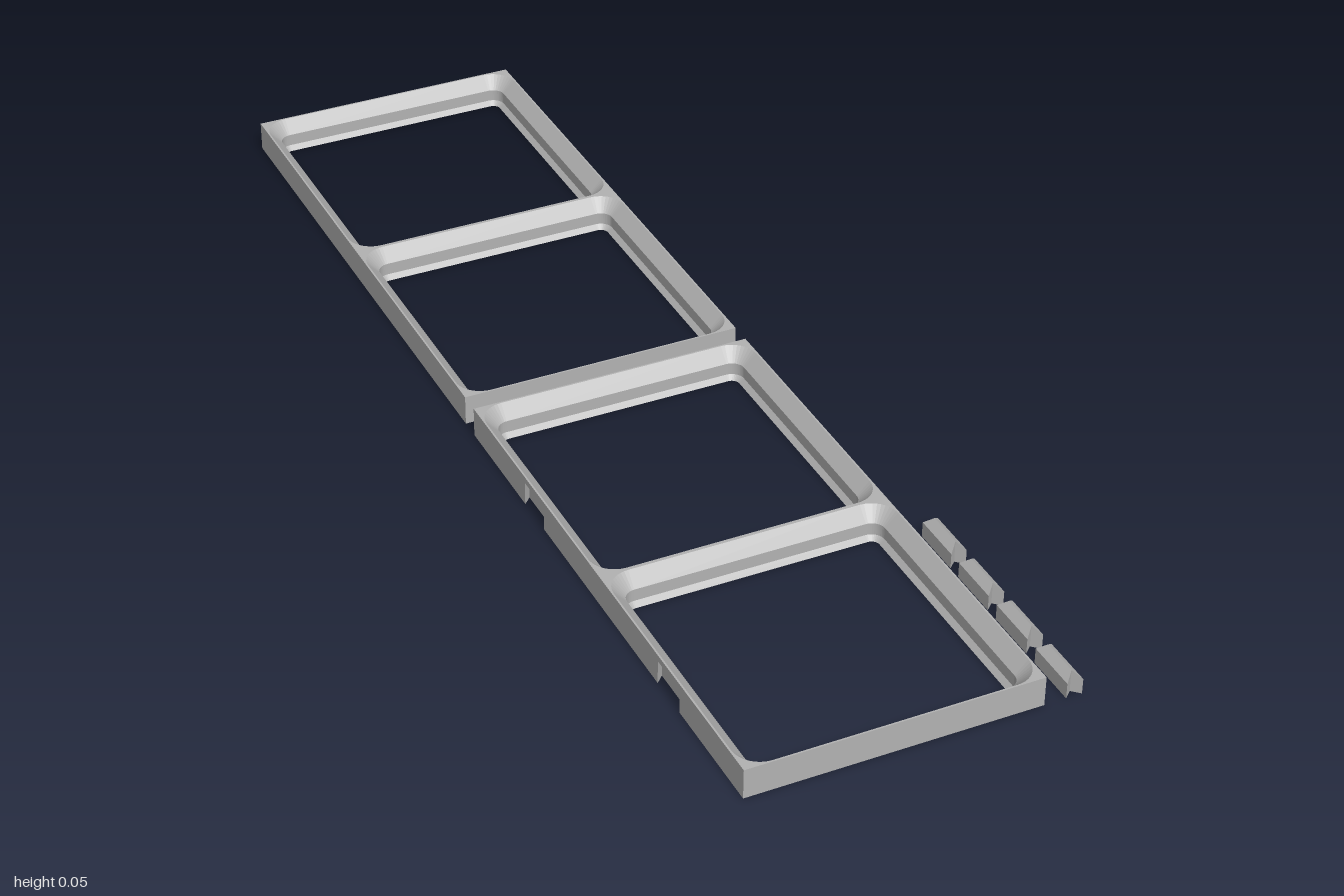
import * as THREE from 'three';
import { mergeGeometries } from 'three/addons/utils/BufferGeometryUtils.js';

const HALF = 0.2455;          // half of one square cell
const LEN = HALF * 2;         // half length of a two-cell plate
const HEIGHT = 0.052;
const CELLS = [-HALF, HALF];  // cell (and slot) centres along z
// Stepped cell wall from top to bottom: [inset, height, corner radius]
const WALL = [[0.003, HEIGHT, 0.044], [0.025, 0.0295, 0.0218], [0.025, 0.0082, 0.0218], [0.033, 0, 0.0135]];
// Dovetail slot: half width at the mouth and at the back, depth, ceiling heights
const SLOT = { mouth: 0.037, back: 0.05, depth: 0.013, low: 0.028, high: 0.041 };

// Flat four-cornered faces, corners anticlockwise from outside
function quads(list) {
  const pos = [];
  for (const [a, b, c, d] of list) pos.push(...a, ...b, ...c, ...a, ...c, ...d);
  const g = new THREE.BufferGeometry();
  g.setAttribute('position', new THREE.Float32BufferAttribute(pos, 3));
  g.computeVertexNormals();
  return g;
}

// Rounded square outline as [x, z] points
function roundedSquare([inset, , radius], zc) {
  const pts = [], steps = 10, k = HALF - inset - radius;
  for (let q = 0; q < 4; q++) {
    const mid = (q + 0.5) * Math.PI / 2;
    for (let i = 0; i <= steps; i++) {
      const t = (q + i / steps) * Math.PI / 2;
      pts.push([
        Math.sign(Math.cos(mid)) * k + Math.cos(t) * radius,
        zc + Math.sign(Math.sin(mid)) * k + Math.sin(t) * radius]);
    }
  }
  return pts;
}

const toPoints = (list) => list.map(([x, y]) => new THREE.Vector2(x, y));

// Flat sheet from an outline, with cell openings taken from one wall ring
function sheet(outline, ring) {
  const shape = new THREE.Shape(toPoints(outline));
  if (ring) for (const zc of CELLS) shape.holes.push(new THREE.Path(toPoints(roundedSquare(ring, zc))));
  return new THREE.ShapeGeometry(shape);
}

function plateGeometry() {
  const { mouth, back, depth, low, high } = SLOT;
  const faces = [], inner = HALF - depth;

  // Cell walls
  for (const zc of CELLS) {
    const rings = WALL.map((w) => roundedSquare(w, zc).map(([x, z]) => [x, w[1], z]));
    for (let r = 0; r < rings.length - 1; r++) {
      const top = rings[r], low = rings[r + 1];
      top.forEach((p, i) => {
        const j = (i + 1) % top.length;
        faces.push([low[i], low[j], top[j], p]);
      });
    }
  }

  // Dovetail slots, open below and on the +x side
  for (const z of CELLS) {
    faces.push(
      [[inner, 0, z + back], [inner, 0, z - back], [inner, low, z - back], [inner, low, z + back]],
      [[HALF, 0, z + mouth], [inner, 0, z + back], [inner, low, z + back], [HALF, high, z + mouth]],
      [[inner, 0, z - back], [HALF, 0, z - mouth], [HALF, high, z - mouth], [inner, low, z - back]],
      [[inner, low, z - back], [HALF, high, z - mouth], [HALF, high, z + mouth], [inner, low, z + back]]);
  }

  // Plain outer sides
  const H = HEIGHT;
  faces.push(
    [[-HALF, 0, -LEN], [-HALF, 0, LEN], [-HALF, H, LEN], [-HALF, H, -LEN]],
    [[-HALF, 0, LEN], [HALF, 0, LEN], [HALF, H, LEN], [-HALF, H, LEN]],
    [[HALF, 0, -LEN], [-HALF, 0, -LEN], [-HALF, H, -LEN], [HALF, H, -LEN]]);

  // Top, bottom and slotted side
  const top = sheet([[-HALF, -LEN], [HALF, -LEN], [HALF, LEN], [-HALF, LEN]], WALL[0]);
  top.rotateX(-Math.PI / 2).translate(0, H, 0);

  const under = [[-HALF, -LEN], [HALF, -LEN]];
  const side = [[-LEN, 0]];
  for (const z of CELLS) {
    under.push([HALF, z - mouth], [inner, z - back], [inner, z + back], [HALF, z + mouth]);
    side.push([z - mouth, 0], [z - mouth, high], [z + mouth, high], [z + mouth, 0]);
  }
  under.push([HALF, LEN], [-HALF, LEN]);
  side.push([LEN, 0], [LEN, H], [-LEN, H]);
  const bottom = sheet(under, WALL[3]).rotateX(Math.PI / 2);
  const slotted = sheet(side).rotateY(Math.PI / 2).translate(HALF, 0, 0);

  const parts = [quads(faces), ...[top, bottom, slotted].map((g) => g.toNonIndexed())];
  parts.forEach((g) => g.deleteAttribute('uv'));
  return mergeGeometries(parts);
}

// Bow-tie connector with a ridged top, made from one half turned round
function connectorGeometry() {
  const c = 0.0135, A = 0.033, B = 0.0455, s = 0.027, p = 0.0395;
  const half = quads([
    [[c, 0, B], [c, 0, -B], [c, s, -B], [c, s, B]],
    [[0, 0, A], [c, 0, B], [c, s, B], [0, p, A]],
    [[c, 0, -B], [0, 0, -A], [0, p, -A], [c, s, -B]],
    [[0, p, A], [c, s, B], [c, s, -B], [0, p, -A]],
    [[0, 0, A], [0, 0, -A], [c, 0, -B], [c, 0, B]]]);
  return mergeGeometries([half, half.clone().rotateY(Math.PI)]);
}

export function createModel() {
  const model = new THREE.Group();
  model.name = 'gridBasePlates';
  const grey = new THREE.MeshStandardMaterial({ color: 0xb2b2b2 });
  grey.name = 'grey';

  // Two plates, the front one turned so its slots face the other way
  const plate = plateGeometry();
  for (const [name, z, turn] of [['rearPlate', -0.509, 0], ['frontPlate', 0.509, Math.PI]]) {
    const mesh = new THREE.Mesh(plate, grey);
    mesh.name = name;
    mesh.position.set(-0.033, 0, z);
    mesh.rotation.y = turn;
    model.add(mesh);
  }

  // Row of loose connectors
  const connector = connectorGeometry();
  for (let i = 0; i < 4; i++) {
    const mesh = new THREE.Mesh(connector, grey);
    mesh.name = `connector${i + 1}`;
    mesh.position.set(0.263, 0, 0.9545 - i * 0.115);
    model.add(mesh);
  }
  return model;
}
